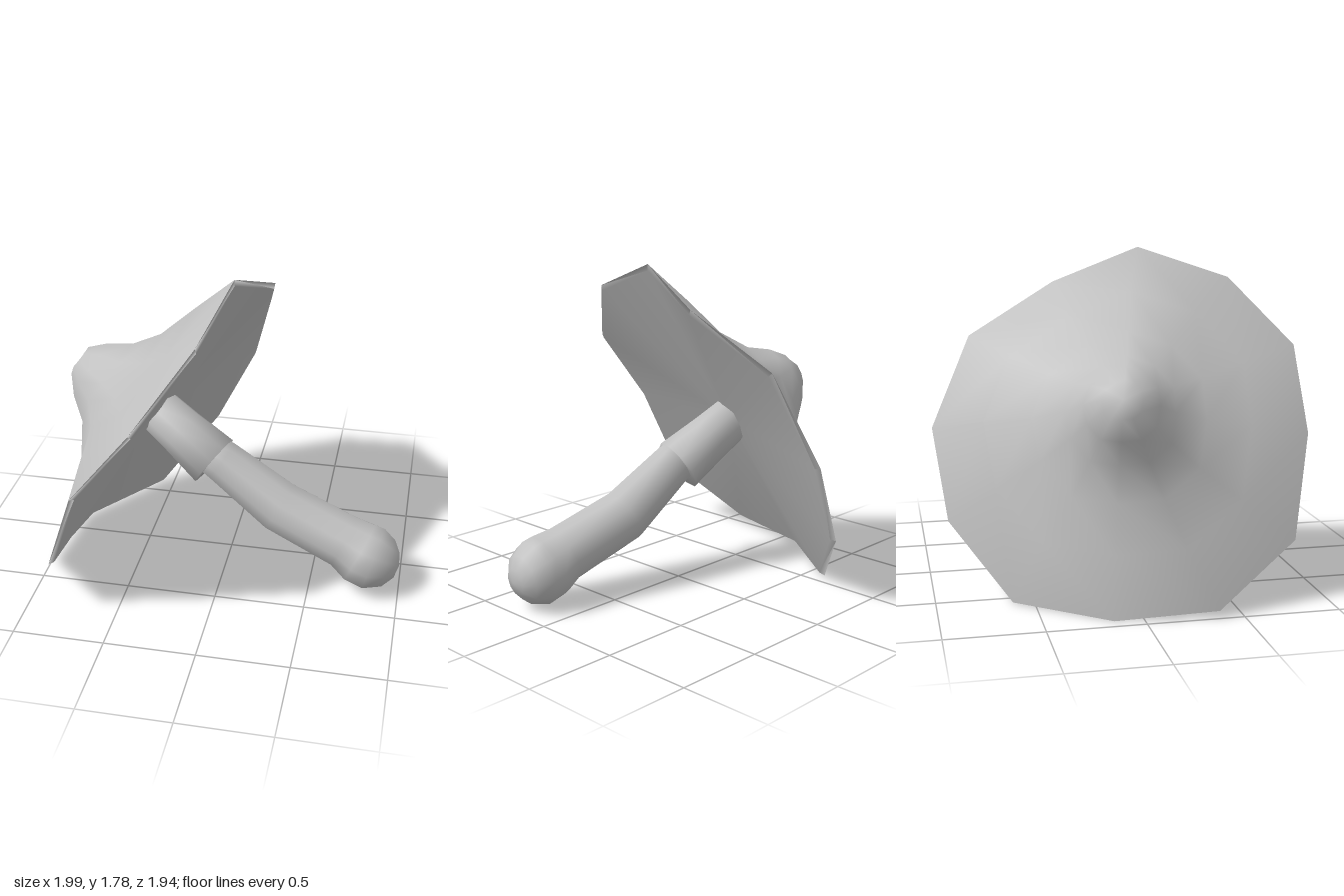
import * as THREE from 'three';

const V = (x, y, z) => new THREE.Vector3(x, y, z);

// Skin a list of equal-sized point rings and close both ends with a fan.
function loft(rings, start, end) {
  const n = rings[0].length;
  const points = [...rings.flat(), start, end];
  const s = points.length - 2, e = s + 1, last = rings.length - 1;
  const index = [];
  for (let j = 0; j < n; j++) {
    const k = (j + 1) % n;
    index.push(s, j, k, e, last * n + k, last * n + j);
    for (let i = 0; i < last; i++) {
      const a = i * n + j, b = a + n, c = (i + 1) * n + k, d = i * n + k;
      index.push(a, b, c, a, c, d);
    }
  }
  const g = new THREE.BufferGeometry().setFromPoints(points);
  g.setIndex(index);
  g.computeVertexNormals();
  return g;
}

// Round tube through stations [x, y, z, radius], closed at both ends.
function limb(stations, sides, endBulge = 0) {
  const p = stations.map(([x, y, z]) => V(x, y, z));
  const dirs = p.map((_, i) =>
    p[Math.min(i + 1, p.length - 1)].clone().sub(p[Math.max(i - 1, 0)]).normalize());
  const rings = p.map((c, i) => {
    const u = dirs[i].clone().cross(V(0, 1, 0)).normalize();
    const v = u.clone().cross(dirs[i]);
    return Array.from({ length: sides }, (_, j) => {
      const t = (j / sides) * Math.PI * 2, r = stations[i][3];
      return c.clone().addScaledVector(u, r * Math.cos(t)).addScaledVector(v, r * Math.sin(t));
    });
  });
  const end = p[p.length - 1].clone().addScaledVector(dirs[p.length - 1], endBulge);
  return loft(rings, p[0].clone(), end);
}

export function createModel() {
  const group = new THREE.Group();
  const grey = new THREE.MeshStandardMaterial({ color: 0xc0c0c0 });
  grey.name = 'plain grey';
  const add = (name, geometry) => {
    const mesh = new THREE.Mesh(geometry, grey);
    mesh.name = name;
    group.add(mesh);
  };

  // Cap: uneven twelve-sided rim, tilted axis
  const rim = [
    [0.05, 1.785, 0.185], [0.19, 1.59, -0.27], [0.1, 1.31, -0.75], [-0.03, 0.83, -0.97],
    [-0.265, 0.37, -0.91], [-0.58, 0.01, -0.61], [-0.93, 0.005, -0.15], [-1, 0.045, 0.37],
    [-0.84, 0.335, 0.815], [-0.65, 0.85, 0.94], [-0.32, 1.27, 0.97], [-0.05, 1.62, 0.675],
  ].map((a) => V(...a));
  const centre = V(-0.363, 0.838, 0.027);
  const axis = V(-0.829, 0.464, -0.313);
  const lean = V(0, -0.03, 0.08); // knob droops a little
  const at = (h) => centre.clone().addScaledVector(axis, h)
    .addScaledVector(lean, Math.max(0, h - 0.13) * 1.8);
  // [scale, height] from knob to brim, then round the lip to the underside
  const capRings = [
    [0.1, 0.625], [0.19, 0.53], [0.28, 0.39], [0.45, 0.25], [0.7, 0.135], [1, 0], [0.97, -0.015],
  ].map(([s, h]) => rim.map((p) => at(h).addScaledVector(p.clone().sub(centre), s)));
  add('cap', loft(capRings, at(0.645), at(0.07)));

  // Collar around the top of the stem
  add('stemCollar', limb([
    [-0.475, 0.9, -0.035, 0.128], [-0.28, 0.768, 0.025, 0.14], [-0.085, 0.635, 0.085, 0.16],
  ], 10));

  // Stem swelling into a round foot
  add('stem', limb([
    [-0.2, 0.73, 0.06, 0.11], [-0.04, 0.645, 0.09, 0.125], [0.3, 0.41, 0.135, 0.152],
    [0.68, 0.268, 0.205, 0.157], [0.77, 0.222, 0.225, 0.182], [0.85, 0.195, 0.235, 0.185],
    [0.935, 0.18, 0.245, 0.14], [0.98, 0.175, 0.25, 0.075],
  ], 10, 0.015));

  return group;
}
